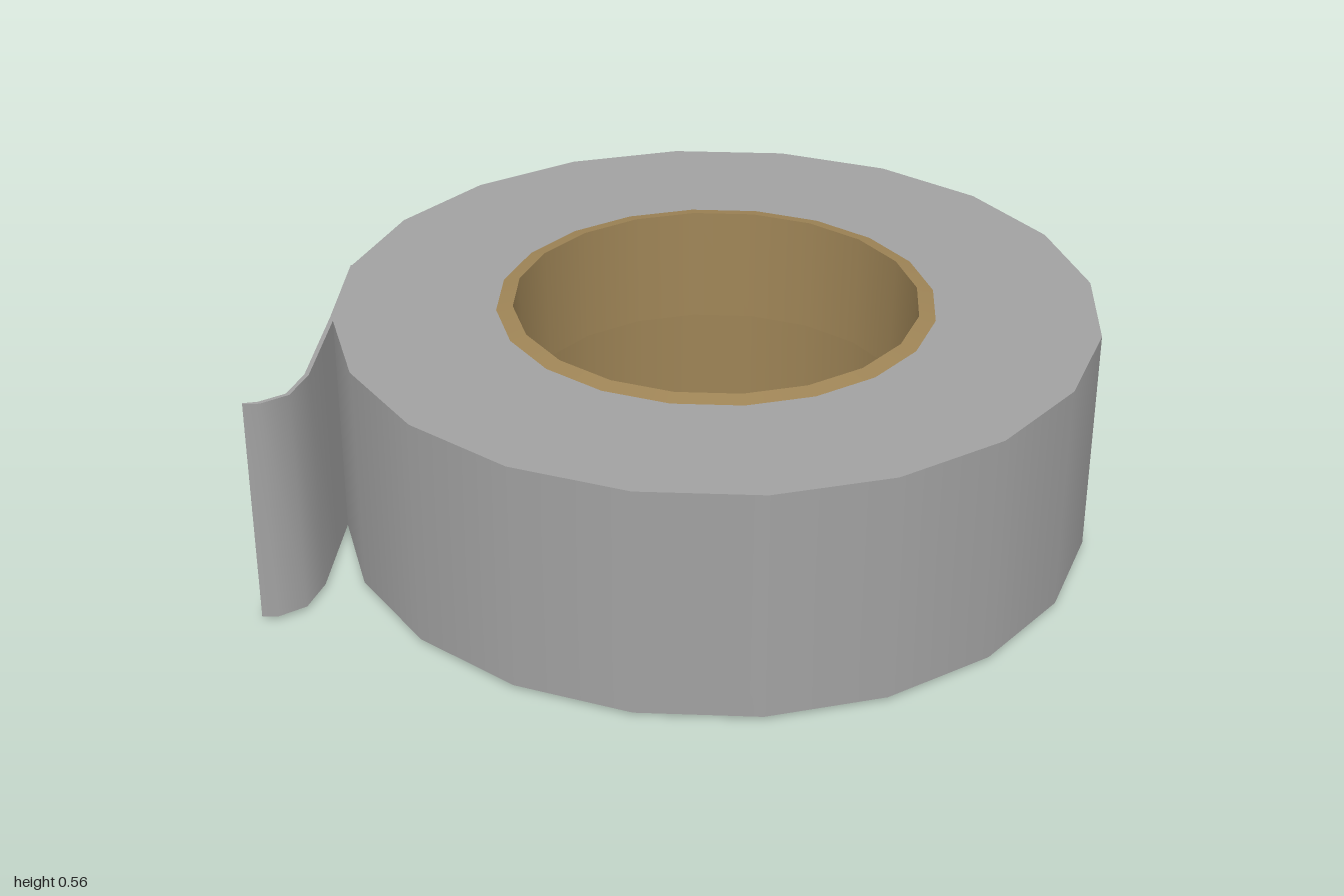
import * as THREE from 'three';
import { toCreasedNormals } from 'three/addons/utils/BufferGeometryUtils.js';

const SIDES = 20;
const STEP = (Math.PI * 2) / SIDES;
const BOTTOM = 0.009, TOP = 0.548;

const grey = new THREE.MeshStandardMaterial({ color: 0xa1a1a1 });
const card = new THREE.MeshStandardMaterial({ color: 0x9e8456 });

// Band swept between two [radius, y] points: smooth around, crisp at its rims
function band(name, from, to, material, firstSide = 0, sides = SIDES) {
  const profile = [new THREE.Vector2(...from), new THREE.Vector2(...to)];
  const geometry = new THREE.LatheGeometry(profile, sides, firstSide * STEP, sides * STEP);
  const mesh = new THREE.Mesh(geometry, material);
  mesh.name = name;
  return mesh;
}

// Loose end of the tape: a thin strip that leaves one side of the roll and curls, drawn in plan
function looseEnd() {
  const path = [[-0.585, -0.517], [-0.71, -0.274], [-0.775, -0.155], [-0.842, -0.032],
    [-0.903, 0.036], [-0.967, 0.047], [-1, 0.04]].map(([x, z]) => new THREE.Vector2(x, -z));
  const offset = path.map((p, i) => {
    const along = path[Math.min(i + 1, path.length - 1)].clone()
      .sub(path[Math.max(i - 1, 0)]).normalize();
    const thickness = i === path.length - 1 ? 0.003 : 0.01;
    return new THREE.Vector2(p.x - along.y * thickness, p.y + along.x * thickness);
  });
  const shape = new THREE.Shape([...path, ...offset.reverse()]);
  const geometry = new THREE.ExtrudeGeometry(shape, { depth: TOP - BOTTOM, bevelEnabled: false });
  geometry.rotateX(-Math.PI / 2);
  geometry.translate(0, BOTTOM, 0);
  const mesh = new THREE.Mesh(toCreasedNormals(geometry, 0.8), grey);
  mesh.name = 'looseEnd';
  return mesh;
}

export function createModel() {
  const model = new THREE.Group();
  model.name = 'tapeRoll';

  // Wound tape
  const roll = new THREE.Group();
  roll.name = 'woundTape';
  roll.add(
    band('outerWall', [0.875, BOTTOM], [0.875, TOP], grey),
    band('topFace', [0.875, TOP], [0.504, TOP], grey),
    band('bottomFace', [0.504, BOTTOM], [0.875, BOTTOM], grey),
  );

  // Card core, pinched slightly halfway, with one grey panel low inside
  const core = new THREE.Group();
  core.name = 'core';
  core.add(
    band('topRim', [0.504, TOP], [0.466, 0.556], card),
    band('upperInnerWall', [0.466, 0.556], [0.46, 0.28], card),
    band('lowerInnerWall', [0.46, 0.28], [0.466, 0], card, 19, SIDES - 1),
    band('innerPanel', [0.46, 0.28], [0.466, 0], grey, 18, 1),
    band('bottomRim', [0.466, 0], [0.504, BOTTOM], grey),
  );

  roll.position.x = core.position.x = 0.125;
  model.add(roll, core, looseEnd());
  return model;
}
